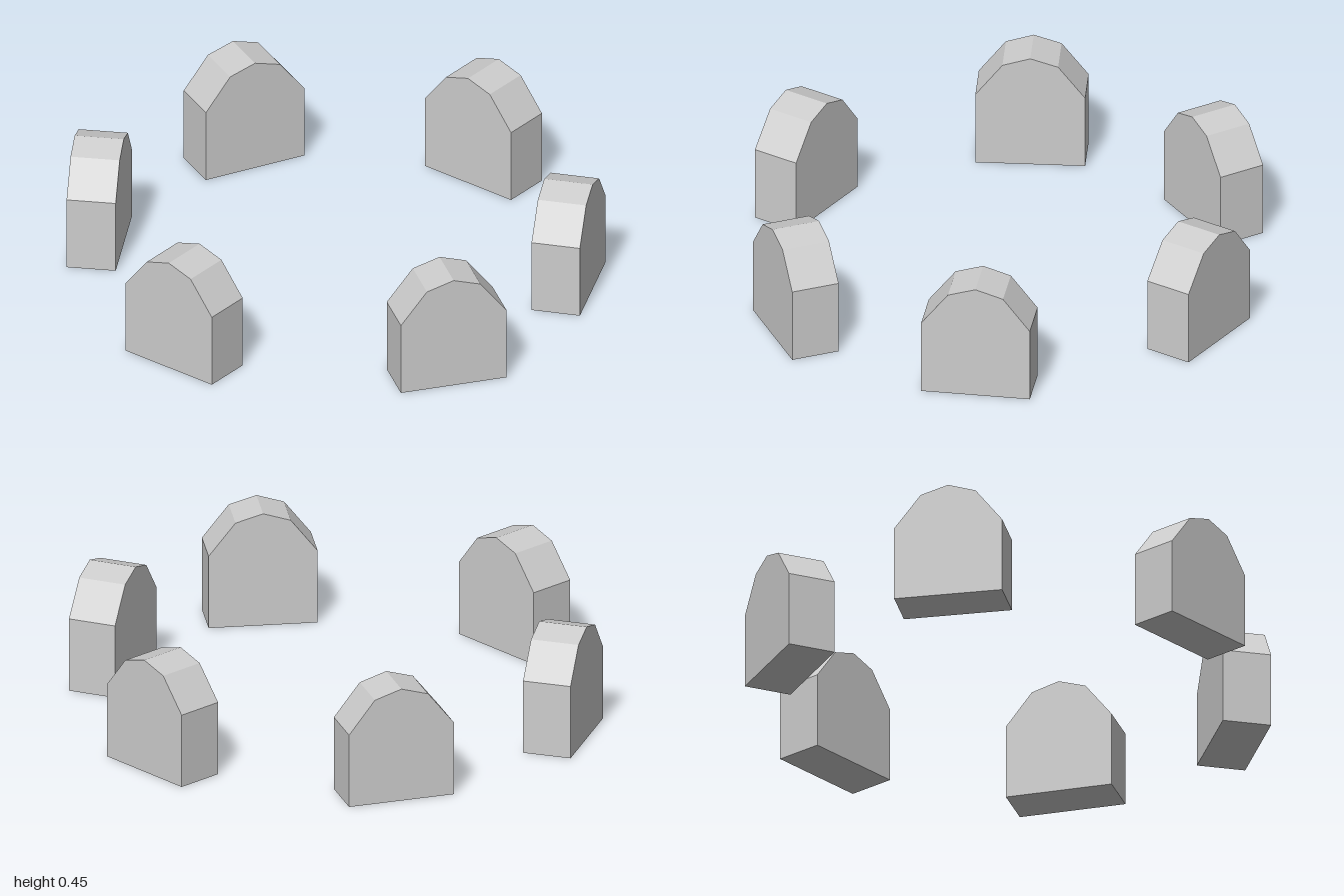
import * as THREE from 'three';

export function createModel() {
  const model = new THREE.Group();
  model.name = 'stoneCircle';

  const stone = new THREE.MeshStandardMaterial({ color: 0xcccccc, flatShading: true });
  stone.name = 'pale grey stone';

  // Upright slab with a faceted, rounded top
  const W = 0.205, DEPTH = 0.185;
  const outline = [
    [-W, 0], [W, 0], [W, 0.289], [0.104, 0.417],
    [0, 0.449], [-0.104, 0.417], [-W, 0.289],
  ].map(([x, y]) => new THREE.Vector2(x, y));
  const slab = new THREE.ExtrudeGeometry(new THREE.Shape(outline), { depth: DEPTH, bevelEnabled: false });
  slab.translate(0, 0, -DEPTH / 2);

  // Ring of stones: name, x, z, turn in degrees
  const ring = [
    ['frontStone', -0.03, 0.887, 0],
    ['frontLeftStone', 0.807, 0.369, 55],
    ['backLeftStone', 0.758, -0.423, -65],
    ['backStone', -0.015, -0.887, 0],
    ['backRightStone', -0.79, -0.43, 65],
    ['frontRightStone', -0.817, 0.404, -60],
  ];
  for (const [name, x, z, turn] of ring) {
    const mesh = new THREE.Mesh(slab, stone);
    mesh.name = name;
    mesh.position.set(x, 0, z);
    mesh.rotation.y = THREE.MathUtils.degToRad(turn);
    model.add(mesh);
  }
  return model;
}
